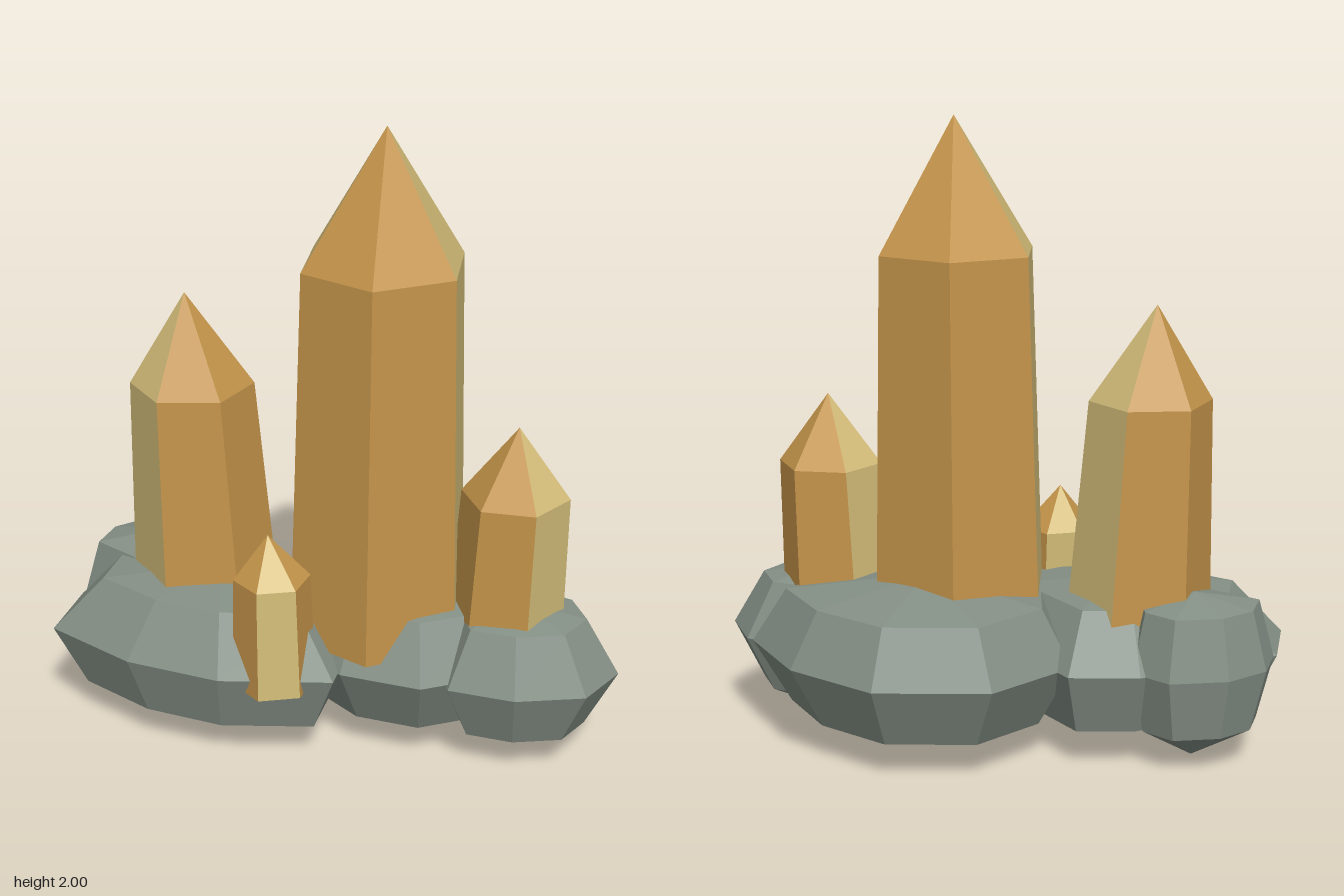
import * as THREE from 'three';

const amber = new THREE.MeshStandardMaterial({ color: 0xc4944a });
const paleGold = new THREE.MeshStandardMaterial({ color: 0xd2bc78 });
const stone = new THREE.MeshStandardMaterial({ color: 0x848f85 });
for (const m of [amber, paleGold, stone]) m.flatShading = true;

// Skin stacked rings (bottom to top); each column of faces becomes one material group.
function loft(rings, materialOf) {
  const positions = [];
  const geometry = new THREE.BufferGeometry();
  const n = rings[0].length;
  const addTriangle = (a, b, c) => {
    const area = b.clone().sub(a).cross(c.clone().sub(a)).length();
    if (area > 1e-7) for (const p of [a, b, c]) positions.push(p.x, p.y, p.z);
  };
  for (let i = 0; i < n; i++) {
    const j = (i + 1) % n;
    const start = positions.length / 3;
    for (let k = 0; k < rings.length - 1; k++) {
      const lo = rings[k], hi = rings[k + 1];
      addTriangle(lo[i], lo[j], hi[j]);
      addTriangle(lo[i], hi[j], hi[i]);
    }
    geometry.addGroup(start, positions.length / 3 - start, materialOf(i));
  }
  geometry.setAttribute('position', new THREE.Float32BufferAttribute(positions, 3));
  geometry.computeVertexNormals();
  return geometry;
}

// Six-sided ring; the angle runs from +z towards +x.
function hexRing([x, y, z], radius, startDegrees) {
  return Array.from({ length: 6 }, (_, i) => {
    const a = THREE.MathUtils.degToRad(startDegrees + i * 60);
    return new THREE.Vector3(x + radius * Math.sin(a), y, z + radius * Math.cos(a));
  });
}

// Tapered prism with a pointed tip; two opposite sides are pale.
function crystal(name, { base, baseRadius, shoulder, shoulderRadius, tip, start }) {
  const rings = [
    hexRing(base, 0, start),
    hexRing(base, baseRadius, start),
    hexRing(shoulder, shoulderRadius, start),
    hexRing(tip, 0, start),
  ];
  const mesh = new THREE.Mesh(loft(rings, i => (i % 3 === 1 ? 1 : 0)), [amber, paleGold]);
  mesh.name = name;
  return mesh;
}

// Faceted boulder: widest outline at mid height, shrunk rings above and below, and two poles.
function rock(name, { center, outline, levels, upper, lower }) {
  const [cx, cz] = center;
  const scales = [0, lower, 1, upper, 0];
  const rings = levels.map((y, k) => outline.map(([x, z]) =>
    new THREE.Vector3(cx + (x - cx) * scales[k], y, cz + (z - cz) * scales[k])));
  const mesh = new THREE.Mesh(loft(rings, () => 0), [stone]);
  mesh.name = name;
  return mesh;
}

export function createModel() {
  const group = new THREE.Group();
  group.name = 'crystalCluster';

  // Rock base
  group.add(
    rock('frontLeftRock', {
      center: [-0.37, 0.12], levels: [0.03, 0.12, 0.32, 0.5, 0.54], upper: 0.7, lower: 0.82,
      outline: [[-0.61, 0.43], [-0.3, 0.48], [0.05, 0.41], [0.06, 0.1], [-0.27, -0.27],
        [-0.49, -0.24], [-0.9, 0.03], [-0.91, 0.28]],
    }),
    rock('backRock', {
      center: [0.21, -0.06], levels: [0, 0.12, 0.32, 0.5, 0.57], upper: 0.8, lower: 0.78,
      outline: [[0.06, 0.36], [0.32, 0.39], [0.6, 0.22], [0.78, -0.07], [0.59, -0.33],
        [0.3, -0.49], [-0.06, -0.44], [-0.27, -0.18], [-0.22, 0.15]],
    }),
    rock('rightRock', {
      center: [0.57, 0.14], levels: [0.02, 0.12, 0.31, 0.49, 0.53], upper: 0.68, lower: 0.7,
      outline: [[0.4, 0.36], [0.61, 0.38], [0.82, 0.31], [0.9, 0.14], [0.81, -0.03],
        [0.55, -0.1], [0.35, 0], [0.33, 0.2]],
    }),
    rock('backLeftRock', {
      center: [-0.64, -0.06], levels: [0.01, 0.12, 0.32, 0.51, 0.55], upper: 0.8, lower: 0.8,
      outline: [[-0.7, 0.13], [-0.5, 0.13], [-0.41, 0], [-0.46, -0.2], [-0.58, -0.28],
        [-0.76, -0.23], [-0.87, -0.12], [-0.89, 0.03]],
    }),
  );

  // Crystals
  group.add(
    crystal('tallCrystal', {
      base: [0.12, 0.37, 0.08], baseRadius: 0.3, start: 5,
      shoulder: [0.13, 1.58, 0.08], shoulderRadius: 0.265, tip: [0.14, 2, 0.09],
    }),
    crystal('leftCrystal', {
      base: [-0.455, 0.35, 0.05], baseRadius: 0.235, start: -137,
      shoulder: [-0.485, 1.13, 0.055], shoulderRadius: 0.195, tip: [-0.5, 1.43, 0.06],
    }),
    crystal('rightCrystal', {
      base: [0.53, 0.35, 0.11], baseRadius: 0.185, start: -30,
      shoulder: [0.555, 0.88, 0.115], shoulderRadius: 0.168, tip: [0.56, 1.105, 0.12],
    }),
    crystal('smallFrontCrystal', {
      base: [-0.15, 0.27, 0.36], baseRadius: 0.13, start: -68,
      shoulder: [-0.157, 0.63, 0.347], shoulderRadius: 0.12, tip: [-0.17, 0.77, 0.34],
    }),
  );
  return group;
}
